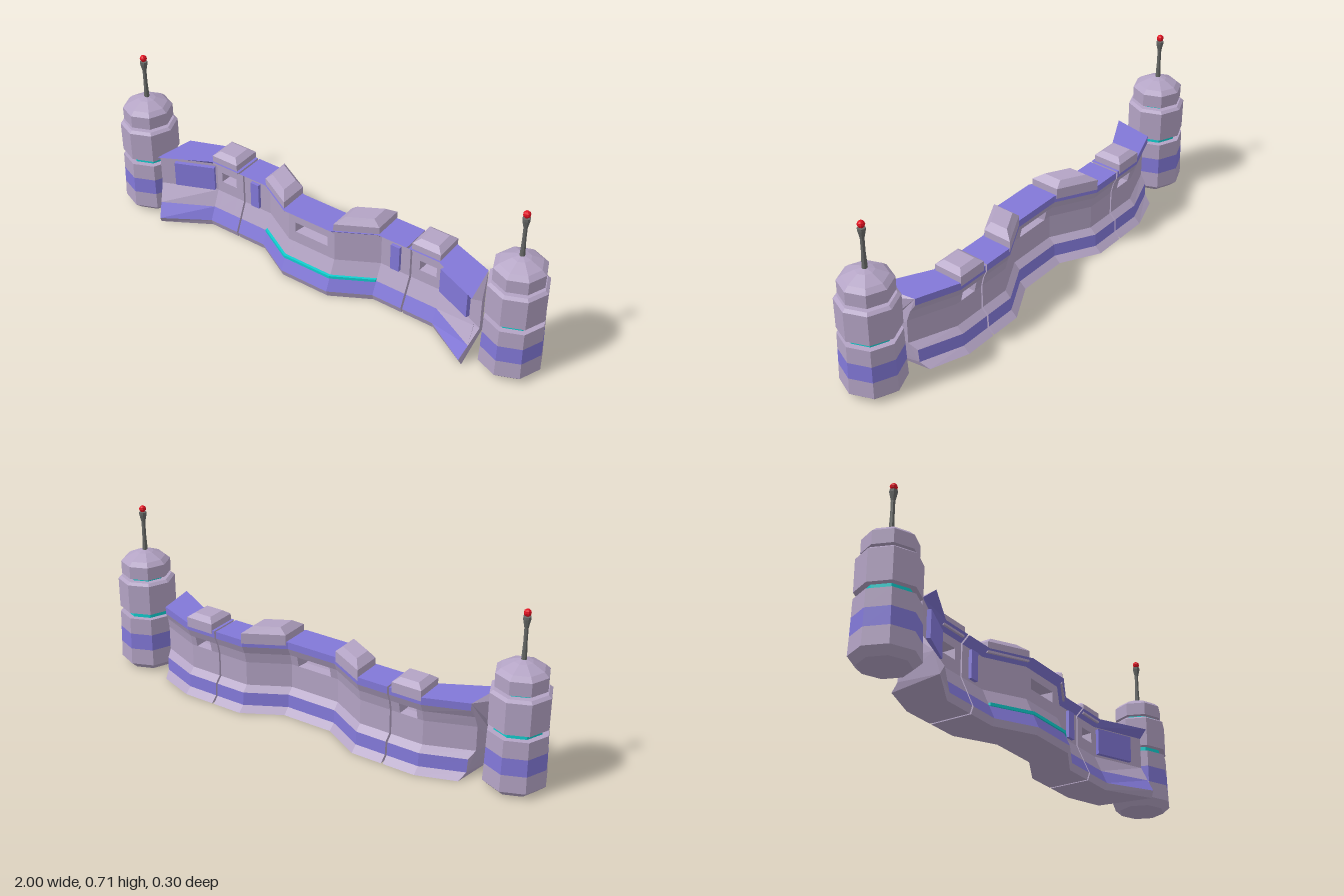
import * as THREE from 'three';

const mat = (color) => new THREE.MeshStandardMaterial({ color, flatShading: true });
const MATS = {
  stone: mat(0xb3a3c4), blue: mat(0x8278d8), teal: mat(0x10d0d0), dark: mat(0x666866), red: mat(0xe01020),
};

function add(parent, name, geometry, material) {
  const mesh = new THREE.Mesh(geometry, MATS[material]);
  mesh.name = name;
  parent.add(mesh);
  return mesh;
}

// Wall cross-section [z, y, colour of the strip that follows]: up the front, over the cap, down the back
const PROFILE = [
  [0.02, 0, 'stone'], [0.03, 0.028, 'blue'], [0.005, 0.085, 'stone'], [-0.025, 0.155, 'stone'],
  [-0.025, 0.207, 'stone'], [-0.025, 0.252, 'stone'], [-0.025, 0.287, 'blue'], [0.006, 0.315, 'blue'],
  [-0.125, 0.315, 'blue'], [-0.125, 0.285, 'stone'], [-0.11, 0.252, 'stone'], [-0.1, 0.207, 'stone'],
  [-0.1, 0.105, 'stone'], [-0.125, 0.08, 'blue'], [-0.128, 0.025, 'stone'], [-0.155, 0, 'stone'],
];
const FRONT_ROW = 4, BACK_ROW = 10;

// How far the wall line bows forward at a given x
function bow(x) {
  const a = Math.abs(x);
  return 0.088 * THREE.MathUtils.clamp((0.27 - a) / 0.16, 0, 1);
}

// A point of the section at a station; the outermost stations wrap the tower faces
function place(x, [pz, y]) {
  if (Math.abs(x) < 0.7) return new THREE.Vector3(x, y, pz + bow(x));
  const z = pz + THREE.MathUtils.lerp(0.055, 0.115, (pz + 0.155) / 0.185);
  const edge = 0.77 + (z < 0.07 ? (z - 0.07) * 0.41 : (0.07 - z) * 0.53);
  return new THREE.Vector3(Math.sign(x) * edge, y, z);
}

// Sweep a closed section along stations in x, one mesh per colour; windows lists the bays to pierce
function sweep(parent, name, xs, profile, windows = []) {
  const soup = {};
  const tri = (color, ...pts) => pts.forEach((p) => (soup[color] ??= []).push(p.x, p.y, p.z));
  const quad = (color, a, b, c, d) => tri(color, a, b, c, a, c, d);
  const rings = xs.map((x) => profile.map((p) => place(x, p)));
  const n = profile.length;

  for (let i = 0; i < xs.length - 1; i++) {
    const [L, R] = [rings[i], rings[i + 1]];
    const open = windows.includes(i);
    for (let j = 0; j < n; j++) {
      if (open && (j === FRONT_ROW || j === BACK_ROW)) continue;
      const k = (j + 1) % n;
      quad(profile[j][2], L[j], R[j], R[k], L[k]);
    }
    if (!open) continue;
    // Window reveal, narrowing to a waist halfway through the wall
    const f = FRONT_ROW, b = BACK_ROW;
    const front = [L[f], R[f], R[f + 1], L[f + 1]];
    const back = [L[b + 1], R[b + 1], R[b], L[b]];
    const centre = new THREE.Vector3();
    [...front, ...back].forEach((p) => centre.addScaledVector(p, 1 / 8));
    const waist = front.map((p) => new THREE.Vector3(
      centre.x + (p.x - centre.x) * 0.85, centre.y + (p.y - centre.y) * 0.78, centre.z));
    for (let s = 0; s < 4; s++) {
      const t = (s + 1) % 4;
      quad('stone', front[s], front[t], waist[t], waist[s]);
      quad('stone', waist[s], waist[t], back[t], back[s]);
    }
  }

  // End faces
  const outline = profile.map(([z, y]) => new THREE.Vector2(z, y));
  const [first, last] = [rings[0], rings[rings.length - 1]];
  for (const [a, b, c] of THREE.ShapeUtils.triangulateShape(outline, [])) {
    tri(profile[0][2], first[a], first[b], first[c]);
    tri(profile[0][2], last[c], last[b], last[a]);
  }

  for (const color in soup) {
    const g = new THREE.BufferGeometry();
    g.setAttribute('position', new THREE.Float32BufferAttribute(soup[color], 3));
    g.computeVertexNormals();
    add(parent, `${name} ${color}`, g, color);
  }
}

// Battlement block with a bevelled top that follows the wall line
function battlement(parent, x, width, shoulder, top) {
  const g = new THREE.BoxGeometry(width, 2, 0.125, 1, 2, 1).toNonIndexed();
  const p = g.attributes.position;
  for (let i = 0; i < p.count; i++) {
    const level = Math.round(p.getY(i)) + 1;
    const inset = level === 2 ? 0.62 : 1;
    const px = x + p.getX(i) * inset;
    p.setXYZ(i, px, [0.3, shoulder, top][level], -0.064 + p.getZ(i) * inset + bow(px));
  }
  g.computeVertexNormals();
  add(parent, 'battlement', g, 'stone');
}

// Tower tiers: [bottom radius, top radius, bottom y, top y, colour]
const TIERS = [
  [0.095, 0.125, 0, 0.028, 'stone'], [0.125, 0.122, 0.028, 0.098, 'stone'],
  [0.122, 0.12, 0.098, 0.168, 'blue'], [0.12, 0.118, 0.168, 0.238, 'stone'],
  [0.094, 0.094, 0.238, 0.263, 'teal'], [0.118, 0.118, 0.263, 0.39, 'stone'],
  [0.118, 0.105, 0.39, 0.4, 'stone'], [0.081, 0.081, 0.4, 0.413, 'teal'],
  [0.102, 0.102, 0.413, 0.467, 'stone'], [0.102, 0.083, 0.467, 0.484, 'stone'],
  [0.083, 0.036, 0.484, 0.506, 'stone'], [0.036, 0.008, 0.506, 0.514, 'stone'],
];

function tower(x) {
  const group = new THREE.Group();
  group.name = 'tower';
  group.position.set(x, 0, 0.01);
  for (const [r0, r1, y0, y1, color] of TIERS) {
    add(group, `tower tier ${color}`, new THREE.CylinderGeometry(r1, r0, y1 - y0, 8), color)
      .position.y = (y0 + y1) / 2;
  }
  // Antenna with a beacon on top
  const mast = [[0.011, 0.508], [0.008, 0.58], [0.008, 0.635], [0.015, 0.668], [0.015, 0.678], [0, 0.678]];
  add(group, 'antenna', new THREE.LatheGeometry(mast.map(([r, y]) => new THREE.Vector2(r, y)), 8), 'dark');
  add(group, 'beacon', new THREE.SphereGeometry(0.0145, 8, 6), 'red').position.y = 0.692;
  return group;
}

export function createModel() {
  const model = new THREE.Group();
  model.name = 'fortress wall';

  // Middle wall and the two angled wings
  const half = [0.077, 0.11, 0.27, 0.401];
  sweep(model, 'middle wall', [...half.map((x) => -x).reverse(), ...half], PROFILE, [3]);
  const wing = [0.409, 0.445, 0.52, 0.545, 0.77];
  sweep(model, 'right wing', wing.map((x) => -x).reverse(), PROFILE, [2]);
  sweep(model, 'left wing', wing, PROFILE, [1]);

  // Light strip along the bowed middle
  const strip = [[0, 0.083, 'teal'], [0.012, 0.083, 'teal'], [0.012, 0.095, 'teal'], [-0.005, 0.095, 'teal']];
  sweep(model, 'light strip', [-0.27, -0.11, 0.11, 0.27], strip);

  for (const s of [-1, 1]) {
    model.add(tower(s * 0.875));
    battlement(model, s * 0.483, 0.125, 0.342, 0.36);
    battlement(model, s * 0.195, 0.155, 0.345, 0.37);

    // Blue front panels
    const large = add(model, 'large panel', new THREE.BoxGeometry(0.17, 0.11, 0.03), 'blue');
    large.position.set(s * 0.63, 0.22, 0.014);
    large.rotation.y = -s * 0.4;
    add(model, 'narrow panel', new THREE.BoxGeometry(0.04, 0.115, 0.024), 'blue')
      .position.set(s * 0.34, 0.222, -0.023);
  }
  return model;
}
